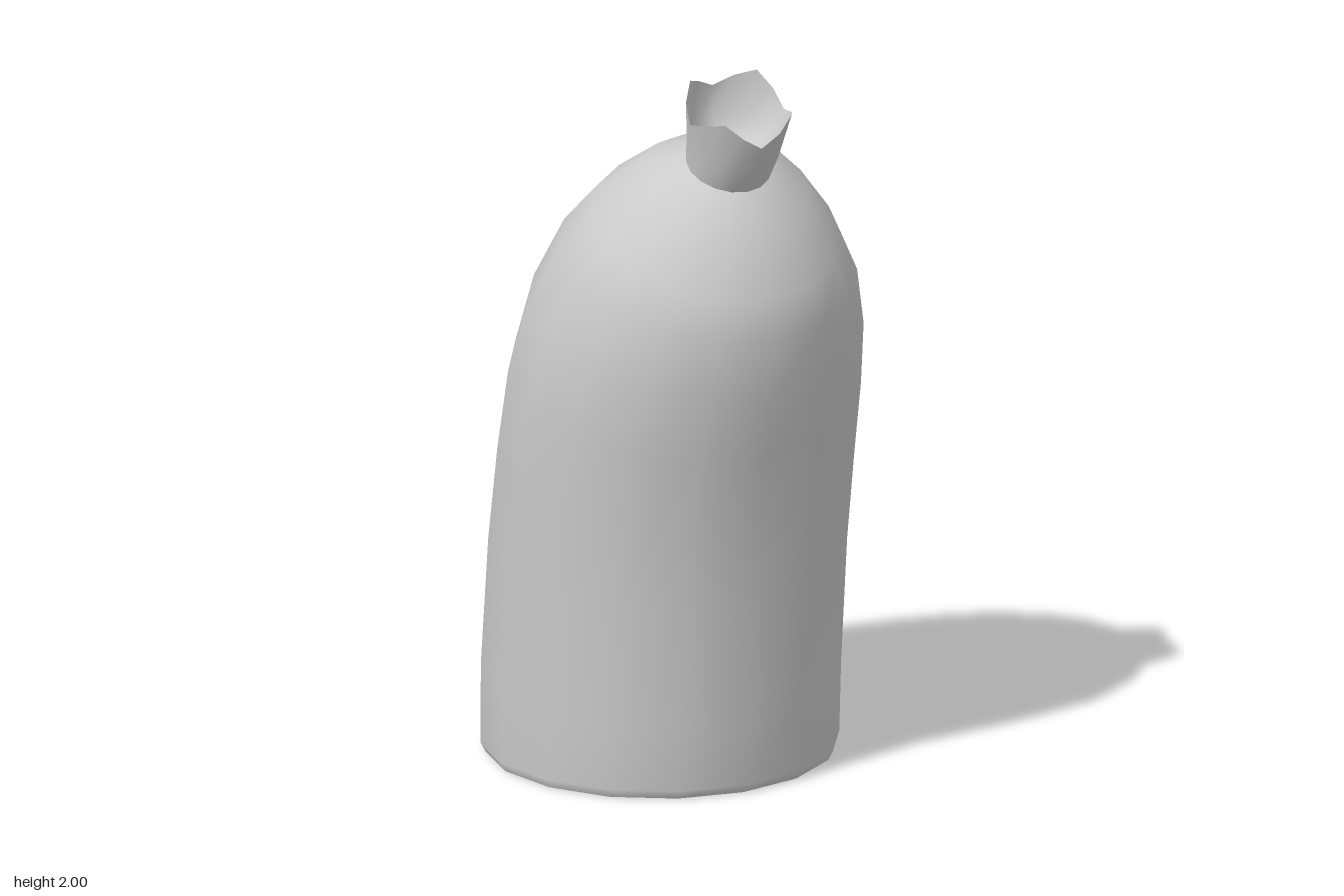
import * as THREE from 'three';

const SIDES = 16;

// Skin tilted elliptical rings. Each ring: [frontZ, frontY, backZ, backY, halfWidth, tipHeight]
function loft(name, rings, material) {
  const pos = [], index = [];
  for (const [fz, fy, bz, by, hw, tip = 0] of rings) {
    const len = Math.hypot(fz - bz, fy - by) || 1;
    const upZ = (by - fy) / len, upY = (fz - bz) / len;
    for (let j = 0; j < SIDES; j++) {
      const t = (j / SIDES) * Math.PI * 2;
      const m = (1 + Math.cos(t)) / 2;
      // Four pointed tips, one on each diagonal
      const lift = tip * (1 - Math.abs((j % 4) - 2) / 2);
      pos.push(hw * Math.sin(t), by + (fy - by) * m + upY * lift, bz + (fz - bz) * m + upZ * lift);
    }
  }
  for (let i = 0; i < rings.length - 1; i++) {
    for (let j = 0; j < SIDES; j++) {
      const a = i * SIDES + j, b = i * SIDES + (j + 1) % SIDES;
      index.push(a, b, b + SIDES, a, b + SIDES, a + SIDES);
    }
  }
  const geo = new THREE.BufferGeometry();
  geo.setAttribute('position', new THREE.Float32BufferAttribute(pos, 3));
  geo.setIndex(index);
  geo.computeVertexNormals();
  const mesh = new THREE.Mesh(geo, material);
  mesh.name = name;
  return mesh;
}

export function createModel() {
  const group = new THREE.Group();
  group.name = 'tiedCasing';
  const grey = new THREE.MeshStandardMaterial({ color: 0xcccccc });

  // Body leaning forward and closing to a neck
  group.add(loft('body', [
    [0.385, 0, -0.55, 0, 0.475],
    [0.4, 0.025, -0.568, 0.025, 0.488],
    [0.407, 0.2, -0.562, 0.28, 0.49],
    [0.435, 0.55, -0.515, 0.65, 0.49],
    [0.472, 0.8, -0.46, 0.93, 0.489],
    [0.512, 0.99, -0.403, 1.18, 0.484],
    [0.552, 1.17, -0.324, 1.385, 0.462],
    [0.573, 1.34, -0.207, 1.57, 0.41],
    [0.557, 1.45, -0.095, 1.68, 0.347],
    [0.488, 1.62, 0.058, 1.775, 0.237],
    [0.408, 1.71, 0.19, 1.8, 0.116],
  ], grey));

  // Flat underside
  group.add(loft('base', [
    [-0.08, 0, -0.08, 0, 0],
    [0.385, 0, -0.55, 0, 0.475],
  ], grey));

  // Flared, pointed end above the neck, outside and inside
  const rim = [0.488, 1.855, 0.21, 1.957, 0.145, 0.065];
  group.add(loft('endOuter', [
    [0.408, 1.71, 0.19, 1.8, 0.116],
    [0.456, 1.785, 0.199, 1.875, 0.126],
    rim,
  ], grey));
  group.add(loft('endInner', [
    rim,
    [0.45, 1.8, 0.21, 1.885, 0.115],
    [0.37, 1.775, 0.25, 1.82, 0.06],
    [0.31, 1.785, 0.31, 1.785, 0],
  ], grey));

  return group;
}
